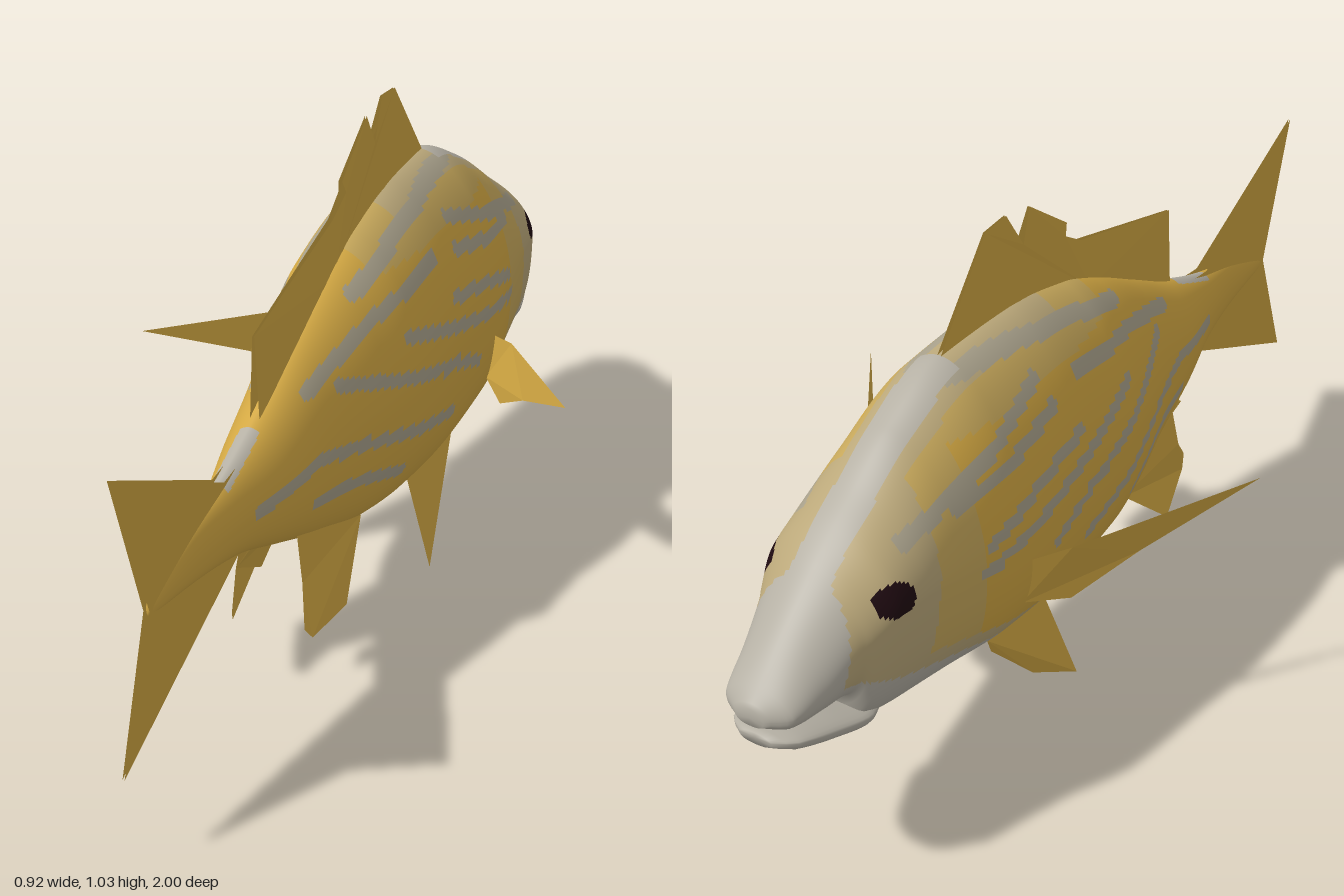
import * as THREE from 'three';

const mat = (name, color, side = THREE.FrontSide) => {
  const m = new THREE.MeshStandardMaterial({ color, side });
  m.name = name;
  return m;
};

// z, top y, bottom y, height of widest point, half width (head at -z)
const BODY = [
  [-1.0, 0.445, 0.408, 0.425, 0.03], [-0.97, 0.475, 0.397, 0.43, 0.075],
  [-0.9, 0.54, 0.387, 0.45, 0.095], [-0.82, 0.61, 0.365, 0.5, 0.115],
  [-0.8, 0.628, 0.295, 0.51, 0.125], [-0.74, 0.672, 0.28, 0.54, 0.148],
  [-0.68, 0.71, 0.27, 0.54, 0.156], [-0.57, 0.782, 0.255, 0.52, 0.167],
  [-0.4, 0.848, 0.23, 0.5, 0.186], [-0.2, 0.855, 0.207, 0.51, 0.182],
  [0, 0.82, 0.222, 0.5, 0.17], [0.12, 0.775, 0.237, 0.49, 0.145],
  [0.28, 0.695, 0.285, 0.48, 0.105], [0.43, 0.62, 0.345, 0.475, 0.08],
  [0.58, 0.565, 0.4, 0.475, 0.045], [0.72, 0.53, 0.425, 0.47, 0.022],
  [0.88, 0.475, 0.445, 0.46, 0.006],
];
const JAW = [
  [-0.99, 0.385, 0.36, 0.375, 0.035], [-0.96, 0.386, 0.345, 0.37, 0.072],
  [-0.88, 0.375, 0.318, 0.35, 0.094], [-0.8, 0.352, 0.297, 0.33, 0.106],
  [-0.74, 0.335, 0.292, 0.315, 0.085],
];

// side stripes as [z, y] paths
const STRIPES = [
  [[-0.45, 0.835], [-0.25, 0.825], [-0.07, 0.795], [0.12, 0.74]],
  [[-0.14, 0.725], [0.11, 0.69], [0.33, 0.625]],
  [[-0.26, 0.765], [-0.45, 0.705], [-0.69, 0.645]],
  [[-0.24, 0.705], [-0.4, 0.67], [-0.56, 0.655]],
  [[-0.18, 0.625], [-0.34, 0.595], [-0.5, 0.55]],
  [[0.03, 0.625], [-0.16, 0.57], [-0.32, 0.53], [-0.52, 0.5]],
  [[0.25, 0.61], [0.03, 0.54], [-0.16, 0.49], [-0.29, 0.44]],
  [[0.54, 0.48], [0.35, 0.5], [0.17, 0.46], [-0.02, 0.41], [-0.16, 0.38]],
  [[0.36, 0.415], [0.2, 0.39], [0.06, 0.345]],
];

function onStripe(z, y) {
  return STRIPES.some((path) => path.slice(1).some(([z1, y1], i) => {
    const [z0, y0] = path[i];
    const dz = z1 - z0, dy = y1 - y0;
    const t = THREE.MathUtils.clamp(((z - z0) * dz + (y - y0) * dy) / (dz * dz + dy * dy), 0, 1);
    return Math.hypot(z - z0 - t * dz, y - y0 - t * dy) < 0.0135;
  }));
}

// material index: 0 gold, 1 tan, 2 silver, 3 stripe, 4 eye, 5 pale gold
function paintBody(x, y, z) {
  const side = Math.abs(x);
  const belly = 0.25 - (z < -0.3 ? 0.33 : 0.12) * (z + 0.3);
  if (Math.hypot((z + 0.747) / 0.04, (y - 0.567) / 0.031) < 1) return 4;
  if (y < belly && z < 0.1) return 2;
  if (z < -0.86 + 0.3 * (y - 0.45)) return 2;
  if (side < 0.045 && y > 0.6 && z < -0.4) return 2;
  if (side < 0.02 && y > 0.54 && z > 0.46 && z < 0.6) return 2;
  if (onStripe(z, y) && side > 0.03) return 3;
  if (z < -0.62 - 0.15 * (0.7 - y) || (y < belly + 0.035 && z < -0.1)) return 1;
  if (side < 0.07 && y > 0.6 && z < -0.1) return 1;
  if (z < -0.52 || (y > 0.75 && z < 0.05)) return 5;
  return 0;
}

// smooth interpolation through the stations without overshoot
function sample(rows, z) {
  let i = 0;
  while (i < rows.length - 2 && z > rows[i + 1][0]) i++;
  const h = rows[i + 1][0] - rows[i][0], t = (z - rows[i][0]) / h;
  const slope = (k, c) => (rows[k + 1][c] - rows[k][c]) / (rows[k + 1][0] - rows[k][0]);
  const tangent = (k, c) => {
    if (k === 0) return slope(0, c);
    if (k === rows.length - 1) return slope(k - 1, c);
    const a = slope(k - 1, c), b = slope(k, c);
    return a * b > 0 ? (2 * a * b) / (a + b) : 0;
  };
  return [1, 2, 3, 4].map((c) => {
    const a = rows[i][c], b = rows[i + 1][c], t2 = t * t, t3 = t2 * t;
    return a * (2 * t3 - 3 * t2 + 1) + b * (3 * t2 - 2 * t3)
      + h * (tangent(i, c) * (t3 - 2 * t2 + t) + tangent(i + 1, c) * (t3 - t2));
  });
}

// closed loft through the stations, one geometry group per colour
function loft(rows, steps, around, paint, materials) {
  const pos = [], buckets = materials.map(() => []);
  const z0 = rows[0][0], z1 = rows[rows.length - 1][0];
  for (let i = -1; i <= steps + 1; i++) {
    const z = z0 + (z1 - z0) * THREE.MathUtils.clamp(i / steps, 0, 1);
    const k = i < 0 || i > steps ? 0 : 1;
    const [top, bottom, mid, w] = sample(rows, z);
    for (let j = 0; j < around; j++) {
      const a = (j / around) * Math.PI * 2, c = Math.cos(a), s = Math.sin(a);
      const p = s > 0 ? 1.12 : 0.78;
      const x = w * Math.sign(c) * Math.abs(c) ** p;
      const y = Math.sign(s) * Math.abs(s) ** p * (s > 0 ? top - mid : mid - bottom);
      pos.push(x * k, mid + y * k, z);
    }
  }
  for (let i = 0; i < steps + 2; i++) for (let j = 0; j < around; j++) {
    const a = i * around + j, b = i * around + (j + 1) % around;
    const c = a + around, d = b + around;
    const mean = (o) => (pos[a * 3 + o] + pos[b * 3 + o] + pos[c * 3 + o] + pos[d * 3 + o]) / 4;
    buckets[paint(mean(0), mean(1), mean(2))].push(a, b, c, b, d, c);
  }
  const g = new THREE.BufferGeometry();
  g.setAttribute('position', new THREE.Float32BufferAttribute(pos, 3));
  g.setIndex(buckets.flat());
  let start = 0;
  buckets.forEach((b, m) => {
    if (b.length) g.addGroup(start, b.length, m);
    start += b.length;
  });
  g.computeVertexNormals();
  return new THREE.Mesh(g, materials);
}

// thin sheet from an outline of [z, y, x] points
function fin(name, outline, material, side = 1) {
  const faces = THREE.ShapeUtils.triangulateShape(outline.map(([z, y]) => new THREE.Vector2(z, y)), []);
  const pos = faces.flat().flatMap((i) => [outline[i][2] * side, outline[i][1], outline[i][0]]);
  const g = new THREE.BufferGeometry();
  g.setAttribute('position', new THREE.Float32BufferAttribute(pos, 3));
  g.computeVertexNormals();
  const mesh = new THREE.Mesh(g, material);
  mesh.name = name;
  return mesh;
}

export function createModel() {
  const fish = new THREE.Group();
  fish.name = 'fish';
  const gold = mat('gold', 0xd3a843), tan = mat('tan', 0xbba87a);
  const silver = mat('silver', 0xb5b0a4), stripe = mat('stripe grey', 0xaaa28c);
  const eye = mat('eye black', 0x1e0a10), paleGold = mat('pale gold', 0xc8a95c);
  const finGold = mat('fin gold', 0xd0a642, THREE.DoubleSide);

  const body = loft(BODY, 270, 160, paintBody, [gold, tan, silver, stripe, eye, paleGold]);
  body.name = 'body';
  const jaw = loft(JAW, 16, 32, () => 0, [silver]);
  jaw.name = 'lowerJaw';
  fish.add(body, jaw);

  // paired sheets, one per side
  const dorsal = [
    [-0.41, 0.84, 0.004], [-0.25, 1.03, 0.002], [-0.18, 1.035, 0.002], [-0.13, 0.955, 0.008],
    [-0.1, 1.02, 0.002], [0.03, 0.93, 0.004], [0.02, 0.905, 0.008], [0.08, 0.87, 0.005],
    [0.44, 0.78, 0.002], [0.44, 0.6, 0.01], [0.1, 0.76, 0.018], [-0.15, 0.83, 0.018],
  ];
  const tail = [
    [0.55, 0.57, 0.012], [0.6, 0.565, 0.012], [1, 0.77, 0.002], [0.89, 0.46, 0.006],
    [1, 0.185, 0.002], [0.54, 0.39, 0.012],
  ];
  const pectoral = [
    [-0.4, 0.45, 0.17], [-0.33, 0.47, 0.24], [0, 0.517, 0.46], [-0.2, 0.41, 0.31],
    [-0.31, 0.335, 0.225], [-0.39, 0.35, 0.165],
  ];
  const pelvic = [
    [-0.4, 0.235, 0.09], [-0.38, 0.195, 0.085], [-0.26, 0.07, 0.105], [-0.14, 0.005, 0.135],
    [-0.17, 0.225, 0.06],
  ];
  for (const s of [1, -1]) {
    const label = s > 0 ? 'left' : 'right';
    fish.add(
      fin(label + 'DorsalFace', dorsal, finGold, s),
      fin(label + 'TailFace', tail, finGold, s),
      fin(label + 'PectoralFin', pectoral, finGold, s),
      fin(label + 'PelvicFin', pelvic, finGold, s),
    );
    // the rear edge of the lower fin flares more on the left
    const flare = s > 0 ? 0.108 : 0.06;
    fish.add(fin(label + 'AnalFin', [
      [0.13, 0.265, 0.085], [0.27, 0.143, 0.112], [0.43, 0.16, flare],
      [0.45, 0.187, flare - 0.008], [0.39, 0.25, 0.07], [0.38, 0.35, 0.055], [0.24, 0.345, 0.09],
    ], finGold, s));
  }

  // small fins on the centre line
  fish.add(
    fin('ventSpine', [[0.11, 0.25, 0], [0.155, 0.18, 0], [0.17, 0.27, 0]], finGold),
    fin('rearFinlet', [[0.34, 0.33, 0], [0.38, 0.26, -0.02], [0.47, 0.305, -0.03], [0.42, 0.36, 0]], finGold),
  );
  return fish;
}
